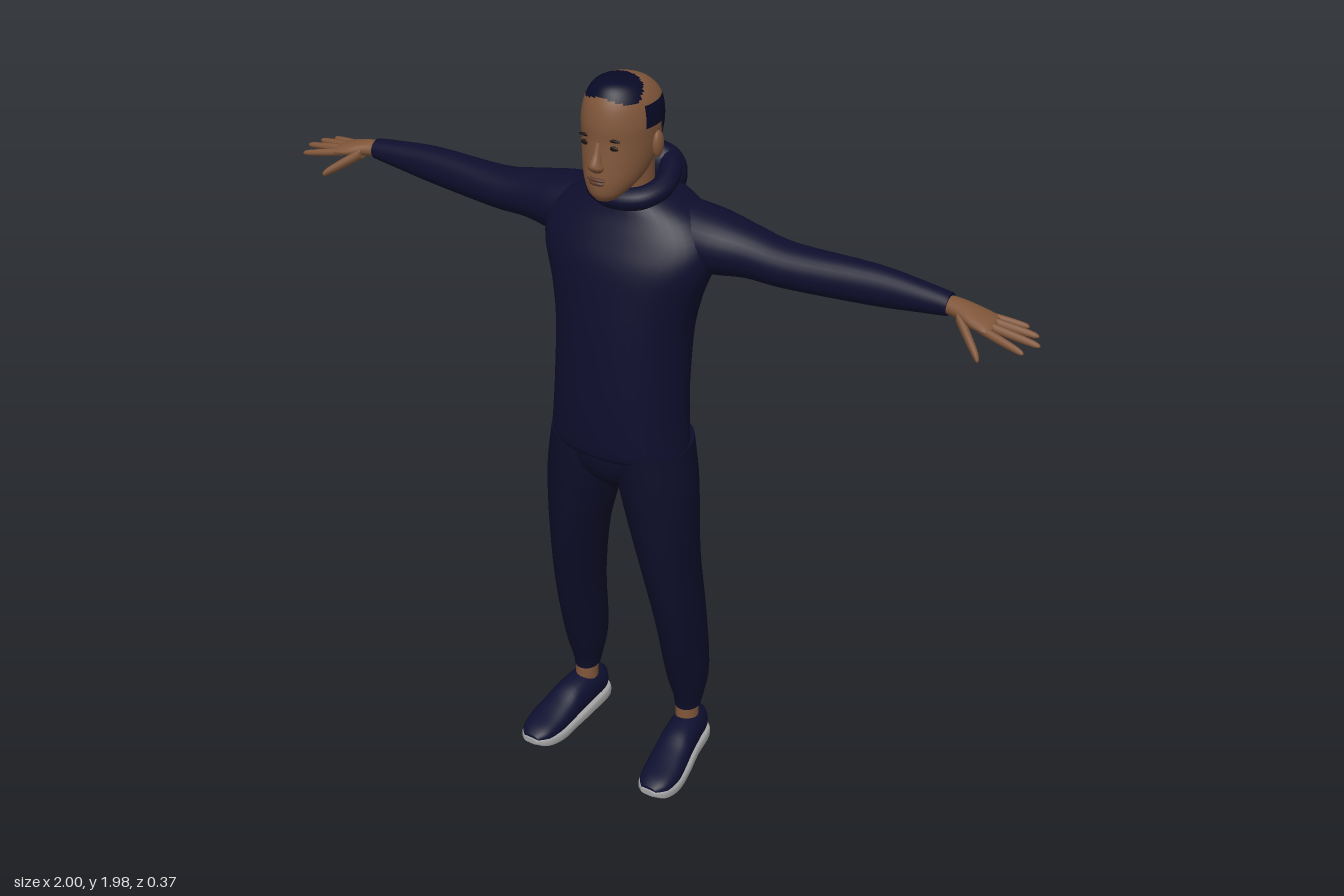
import * as THREE from 'three';

const mat = (name, color) => {
  const m = new THREE.MeshStandardMaterial({ color });
  m.name = name;
  return m;
};

// Catmull-Rom blend of four numbers
const blend = (a, b, c, d, t) =>
  b + 0.5 * t * (c - a + t * (2 * a - 5 * b + 4 * c - d + t * (3 * (b - c) + d - a)));

// Closed skin over elliptical cross-sections, listed in rising order along an axis.
// Row: [position, centreU, centreV, radiusU, radiusV]; (U,V) is (y,z) for x, (z,x) for y, (x,y) for z.
function loft(axis, rows, { sides = 28, steps = 4, power = 2, pick = null } = {}) {
  const w = 'xyz'.indexOf(axis), u = (w + 1) % 3, v = (w + 2) % 3;
  const rings = [];
  const last = rows.length - 1;
  for (let i = 0; i < last; i++) {
    const [a, b, c, d] = [rows[Math.max(i - 1, 0)], rows[i], rows[i + 1], rows[Math.min(i + 2, last)]];
    for (let s = 0; s < steps; s++) rings.push(b.map((_, k) => blend(a[k], b[k], c[k], d[k], s / steps)));
  }
  rings.push(rows[last]);

  const pos = [], faces = [[], []];
  const put = (r, cu, cv) => {
    const p = [0, 0, 0];
    p[w] = r[0]; p[u] = r[1] + cu * r[3]; p[v] = r[2] + cv * r[4];
    pos.push(...p);
  };
  const bend = (k) => Math.sign(k) * Math.abs(k) ** (2 / power);
  const ring = (r) => {
    for (let j = 0; j < sides; j++) {
      const t = (j / sides) * Math.PI * 2;
      put(r, bend(Math.cos(t)), bend(Math.sin(t)));
    }
  };
  rings.forEach(ring);
  for (let i = 0; i < rings.length - 1; i++) {
    for (let j = 0; j < sides; j++) {
      const k = (j + 1) % sides, a = i * sides + j, b = i * sides + k, c = b + sides, d = a + sides;
      const mid = [0, 1, 2].map((n) => (pos[a * 3 + n] + pos[b * 3 + n] + pos[c * 3 + n] + pos[d * 3 + n]) / 4);
      faces[pick && pick(...mid) ? 1 : 0].push(a, b, c, a, c, d);
    }
  }
  // End caps with their own vertices
  [[rings[0], true], [rings[rings.length - 1], false]].forEach(([r, start]) => {
    const base = pos.length / 3;
    ring(r);
    put(r, 0, 0);
    const [x, y, z] = pos.slice(-3);
    const list = faces[pick && pick(x, y, z) ? 1 : 0];
    for (let j = 0; j < sides; j++) {
      const k = (j + 1) % sides;
      list.push(base + sides, base + (start ? k : j), base + (start ? j : k));
    }
  });
  const g = new THREE.BufferGeometry();
  g.setAttribute('position', new THREE.Float32BufferAttribute(pos, 3));
  g.setIndex([...faces[0], ...faces[1]]);
  if (pick) {
    g.addGroup(0, faces[0].length, 0);
    g.addGroup(faces[0].length, faces[1].length, 1);
  }
  g.computeVertexNormals();
  return g;
}

// Copy of a geometry on the other side of the body
function mirrored(geo) {
  const g = geo.clone();
  g.scale(-1, 1, 1);
  const idx = Array.from(geo.index.array);
  for (let i = 0; i < idx.length; i += 3) [idx[i], idx[i + 1]] = [idx[i + 1], idx[i]];
  g.setIndex(idx);
  g.computeVertexNormals();
  return g;
}

export function createModel() {
  const skin = mat('skin', 0x80563a);
  const hair = mat('hair', 0x080a26);
  const cloth = mat('hoodieNavy', 0x0e0e2d);
  const trouser = mat('trouserNavy', 0x0d0d28);
  const shoeMat = mat('shoeNavy', 0x0e1030);
  const soleMat = mat('soleGrey', 0xa4a4a4);
  const dark = mat('eyeDark', 0x1c1210);
  const lip = mat('lip', 0x5c3a2c);

  const model = new THREE.Group();
  model.name = 'figure';
  const add = (name, geo, material) => {
    const m = new THREE.Mesh(geo, material);
    m.name = name;
    model.add(m);
    return m;
  };
  const pair = (name, geo, material) => {
    add(name + 'Left', geo, material);
    add(name + 'Right', mirrored(geo), material);
  };
  const blob = (x, y, z, sx, sy, sz) => new THREE.SphereGeometry(1, 16, 12).scale(sx, sy, sz).translate(x, y, z);

  // Hoodie body
  add('hoodieBody', loft('y', [
    [1.035, 0.01, 0, 0.122, 0.172], [1.05, 0.01, 0, 0.13, 0.181], [1.09, 0.008, 0, 0.135, 0.177],
    [1.2, 0.003, 0, 0.139, 0.17], [1.35, -0.01, 0, 0.14, 0.172], [1.45, -0.02, 0, 0.136, 0.19],
    [1.54, -0.032, 0, 0.13, 0.22], [1.6, -0.045, 0, 0.117, 0.222], [1.65, -0.058, 0, 0.105, 0.185],
    [1.685, -0.062, 0, 0.095, 0.12], [1.705, -0.06, 0, 0.07, 0.075],
  ], { sides: 40, power: 2.2 }), cloth);

  // Sleeves
  pair('sleeve', loft('x', [
    [0.08, 1.6, -0.072, 0.082, 0.088], [0.2, 1.592, -0.076, 0.077, 0.085], [0.3, 1.59, -0.075, 0.061, 0.066],
    [0.4, 1.583, -0.072, 0.053, 0.056], [0.6, 1.588, -0.08, 0.048, 0.042], [0.72, 1.592, -0.077, 0.035, 0.033],
    [0.785, 1.594, -0.074, 0.026, 0.028],
  ]), cloth);

  // Hood: rolled collar and the bag hanging behind
  const rim = new THREE.CatmullRomCurve3([
    [0, 1.695, 0.035], [0.06, 1.7, 0.015], [0.084, 1.715, -0.04], [0.06, 1.74, -0.11],
    [0, 1.752, -0.135], [-0.06, 1.74, -0.11], [-0.084, 1.715, -0.04], [-0.06, 1.7, 0.015],
  ].map((p) => new THREE.Vector3(...p)), true);
  add('hoodCollar', new THREE.TubeGeometry(rim, 48, 0.027, 12, true), cloth);
  add('hoodBag', loft('y', [
    [1.56, -0.145, 0, 0.012, 0.015], [1.61, -0.14, 0, 0.036, 0.05], [1.67, -0.133, 0, 0.053, 0.083],
    [1.72, -0.13, 0, 0.054, 0.09], [1.76, -0.125, 0, 0.042, 0.072], [1.783, -0.118, 0, 0.014, 0.03],
  ]), cloth);

  // Trousers
  add('trouserSeat', loft('y', [
    [0.9, -0.002, 0, 0.05, 0.03], [0.95, -0.002, 0, 0.1, 0.1], [1.0, -0.003, 0, 0.121, 0.17],
    [1.06, 0, 0, 0.122, 0.172],
  ], { sides: 36 }), trouser);
  pair('trouserLeg', loft('y', [
    [0.165, -0.075, 0.165, 0.04, 0.035], [0.2, -0.078, 0.165, 0.048, 0.041], [0.3, -0.07, 0.163, 0.07, 0.057],
    [0.5, -0.037, 0.157, 0.088, 0.06], [0.7, -0.008, 0.138, 0.098, 0.072], [0.85, -0.001, 0.118, 0.108, 0.09],
    [0.95, 0, 0.104, 0.116, 0.097], [1.05, 0, 0.094, 0.12, 0.09],
  ]), trouser);

  // Ankles and shoes
  pair('ankle', loft('y', [
    [0.09, -0.072, 0.167, 0.037, 0.032], [0.14, -0.072, 0.165, 0.036, 0.031], [0.19, -0.075, 0.165, 0.037, 0.032],
  ], { sides: 18 }), skin);
  pair('shoeUpper', loft('z', [
    [-0.148, 0.165, 0.07, 0.02, 0.03], [-0.12, 0.166, 0.075, 0.04, 0.046], [-0.07, 0.17, 0.08, 0.045, 0.054],
    [0, 0.178, 0.075, 0.049, 0.052], [0.05, 0.184, 0.063, 0.052, 0.042], [0.1, 0.19, 0.055, 0.053, 0.033],
    [0.15, 0.192, 0.052, 0.044, 0.023], [0.178, 0.192, 0.05, 0.023, 0.011],
  ], { power: 2.3 }), shoeMat);
  pair('shoeSole', loft('z', [
    [-0.152, 0.165, 0.032, 0.02, 0.015], [-0.13, 0.166, 0.025, 0.043, 0.023], [-0.05, 0.172, 0.021, 0.047, 0.021],
    [0.03, 0.183, 0.019, 0.053, 0.019], [0.1, 0.189, 0.023, 0.057, 0.019], [0.155, 0.192, 0.034, 0.046, 0.017],
    [0.184, 0.192, 0.045, 0.02, 0.008],
  ], { power: 4 }), soleMat);

  // Hands: palm, four fingers and a thumb
  pair('palm', loft('x', [
    [0.77, 1.594, -0.074, 0.02, 0.022], [0.81, 1.592, -0.071, 0.02, 0.029], [0.85, 1.585, -0.065, 0.018, 0.041],
    [0.885, 1.58, -0.061, 0.013, 0.043], [0.897, 1.578, -0.06, 0.006, 0.036],
  ], { sides: 18 }), skin);
  [
    ['littleFinger', [0.87, 1.581, -0.094], [0.955, 1.573, -0.106], 0.009],
    ['ringFinger', [0.87, 1.582, -0.074], [0.985, 1.568, -0.085], 0.01],
    ['middleFinger', [0.87, 1.582, -0.052], [1.0, 1.564, -0.053], 0.01],
    ['indexFinger', [0.87, 1.58, -0.032], [0.98, 1.562, -0.008], 0.01],
    ['thumb', [0.815, 1.584, -0.05], [0.895, 1.533, 0.02], 0.015],
  ].forEach(([name, a, b, r]) => {
    const row = (t, k) => [...a.map((n, i) => n + (b[i] - n) * t), r * k, r * k];
    pair(name, loft('x', [row(0, 1), row(0.5, 0.95), row(0.9, 0.7), row(1, 0.2)], { sides: 10, steps: 3 }), skin);
  });

  // Neck and head, with hair as separate faces of the skull
  add('neck', loft('y', [
    [1.64, -0.04, 0, 0.06, 0.06], [1.72, -0.03, 0, 0.058, 0.058], [1.8, -0.025, 0, 0.06, 0.06],
  ]), skin);
  const isHair = (x, y, z) => {
    const crown = y > 1.93 && (x / 0.068) ** 2 + ((z - 0.037) / 0.053) ** 2 < 1;
    const sides = y < 1.93 && ((z < 0.03 && y > 1.88) || (z < -0.03 && y > 1.815));
    return crown || sides;
  };
  add('head', loft('y', [
    [1.712, 0.072, 0, 0.028, 0.025], [1.73, 0.062, 0, 0.05, 0.045], [1.76, 0.034, 0, 0.081, 0.066],
    [1.8, 0.013, 0, 0.099, 0.079], [1.85, 0.001, 0, 0.107, 0.086], [1.89, -0.001, 0, 0.109, 0.088],
    [1.93, 0, 0, 0.1, 0.081], [1.96, 0.008, 0, 0.077, 0.063], [1.976, 0.018, 0, 0.048, 0.04],
    [1.983, 0.024, 0, 0.012, 0.01],
  ], { sides: 56, steps: 7, pick: isHair }), [skin, hair]);

  // Face and ears
  add('nose', loft('y', [
    [1.786, 0.108, 0, 0.01, 0.012], [1.797, 0.112, 0, 0.018, 0.019], [1.808, 0.112, 0, 0.02, 0.015],
    [1.83, 0.107, 0, 0.013, 0.01], [1.855, 0.102, 0, 0.008, 0.008],
  ], { sides: 16 }), skin);
  add('upperLip', blob(0, 1.769, 0.113, 0.024, 0.005, 0.007), lip);
  add('lowerLip', blob(0, 1.76, 0.112, 0.02, 0.006, 0.007), lip);
  pair('eye', blob(0.035, 1.845, 0.098, 0.014, 0.006, 0.004), dark);
  pair('eyebrow', blob(0.036, 1.863, 0.098, 0.018, 0.004, 0.004), dark);
  pair('ear', blob(0.089, 1.832, -0.005, 0.011, 0.032, 0.019), skin);

  return model;
}
